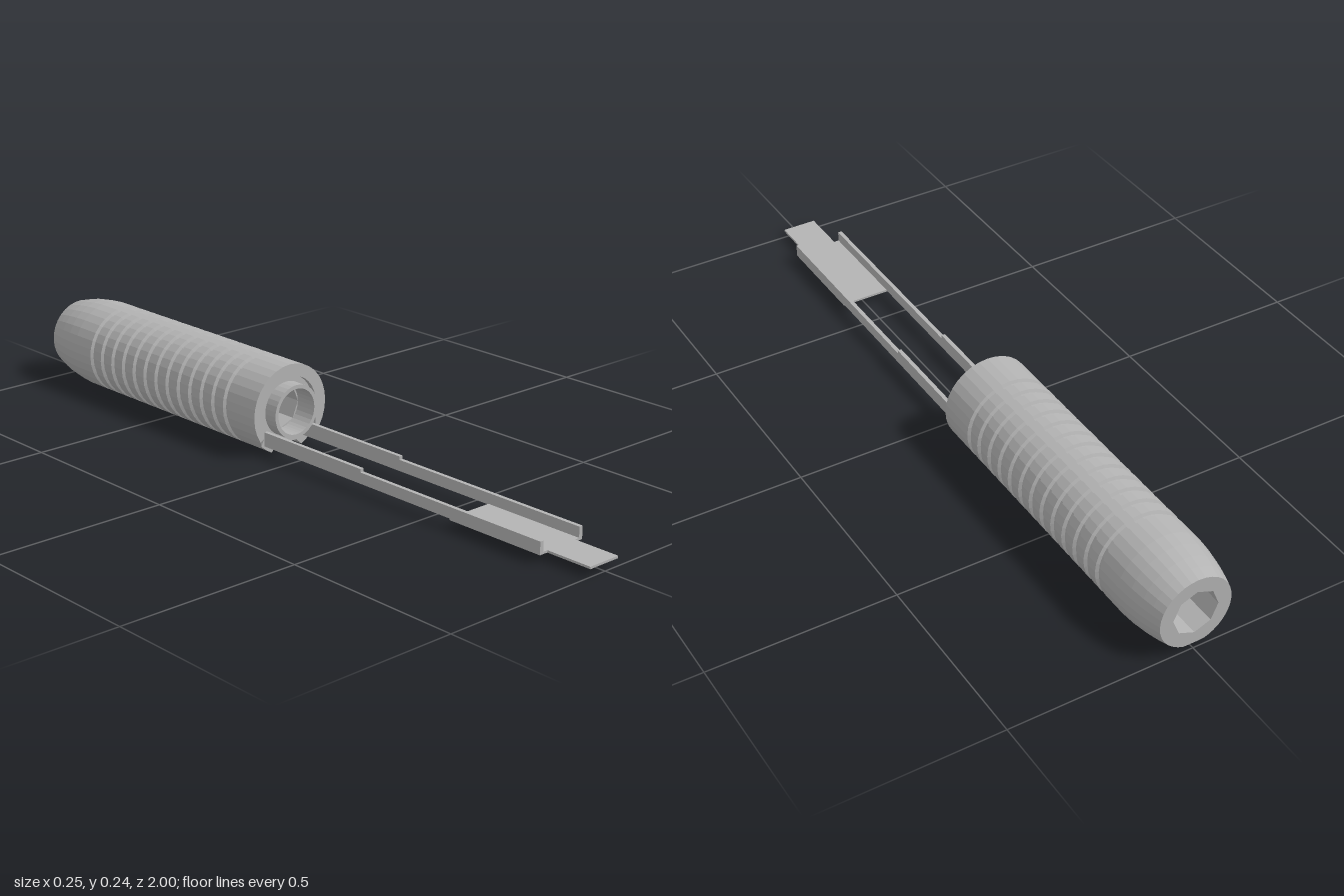
import * as THREE from 'three';

const grey = new THREE.MeshStandardMaterial({ color: 0xb3b3b3 });
grey.name = 'plain grey';

const CY = 0.1125, R = 0.1235;            // handle axis height and radius
const FRONT = -0.08, RECESS = -0.095, BACK = -1;
const rad = THREE.MathUtils.degToRad;

// Angles measured from the bottom; the first few land on the channel corners
const half = [8, 16.46, 24.9, 33.75];
for (let a = 45; a < 180; a += 11.25) half.push(a);
const angles = [0, ...half, 180, ...half.slice().reverse().map(a => 360 - a)];

const polar = (a, r, z) => [r * Math.sin(rad(a)), CY - r * Math.cos(rad(a)), z];

// Circular section with the channel cut along the underside
function outline(a, r, z) {
  const p = polar(a, r, z);
  const x = Math.abs(p[0]);
  if (p[1] < CY) p[1] = Math.max(p[1], 0.017 - Math.max(0, x - 0.035));
  return p;
}

// Octagonal bore with a corner at the top
function octagon(a, r, z) {
  const k = Math.cos(rad(22.5)) / Math.cos(rad((a % 45) - 22.5));
  return polar(a, r * k, z);
}

// Arched recess: round above, straight sides below, open at the bottom
const isOpen = a => Math.min(a, 360 - a) < 46;
function arch(a, z) {
  if (isOpen(a)) return outline(a, R, RECESS);
  const p = polar(a, 0.09, z);
  if (p[1] < CY) {
    const k = 0.09 / Math.abs(p[0]);
    return [p[0] * k, CY + (p[1] - CY) * k, z];
  }
  return p;
}

function handleGeometry() {
  const rows = [];
  const skin = (z, r) => rows.push(angles.map(a => outline(a, r, z)));
  // outer skin, front to back
  rows.push(angles.map(a => outline(a, R, isOpen(a) ? RECESS : FRONT)));
  skin(RECESS - 0.002, R);
  for (let i = 0; i < 13; i++) {
    const c = -0.198 - i * 0.0485;
    skin(c + 0.009, R);
    skin(c + 0.005, R - 0.008);
    skin(c - 0.005, R - 0.008);
    skin(c - 0.009, R);
  }
  [[-0.86, R], [-0.9, 0.1205], [-0.94, 0.1145], [-0.97, 0.1075], [BACK, 0.099]]
    .forEach(([z, r]) => skin(z, r));
  // bore, back to front
  rows.push(angles.map(a => octagon(a, 0.0625, BACK)));
  rows.push(angles.map(a => octagon(a, 0.0625, -0.12)));
  rows.push(angles.map(a => polar(a, 0.0625, -0.12)));
  // collar and recess
  rows.push(angles.map(a => polar(a, 0.0625, -0.055)));
  rows.push(angles.map(a => polar(a, 0.073, -0.055)));
  rows.push(angles.map(a => polar(a, 0.073, RECESS)));
  rows.push(angles.map(a => arch(a, RECESS)));
  rows.push(angles.map(a => arch(a, FRONT)));
  rows.push(rows[0]);

  const n = angles.length, index = [];
  for (let i = 0; i < rows.length - 1; i++) {
    for (let j = 0; j < n; j++) {
      const k = (j + 1) % n;
      const a = i * n + j, b = a + n, c = (i + 1) * n + k, d = i * n + k;
      index.push(a, b, c, a, c, d);
    }
  }
  const g = new THREE.BufferGeometry();
  g.setAttribute('position', new THREE.Float32BufferAttribute(rows.flat(2), 3));
  g.setIndex(index);
  const flat = g.toNonIndexed();
  flat.computeVertexNormals();
  return flat;
}

// Box given by its limits
function block(name, x0, x1, y0, y1, z0, z1) {
  const m = new THREE.Mesh(new THREE.BoxGeometry(x1 - x0, y1 - y0, z1 - z0), grey);
  m.position.set((x0 + x1) / 2, (y0 + y1) / 2, (z0 + z1) / 2);
  m.name = name;
  return m;
}

export function createModel() {
  const model = new THREE.Group();
  model.name = 'handledTool';

  const handle = new THREE.Mesh(handleGeometry(), grey);
  handle.name = 'ribbedHandle';
  model.add(handle);

  // Forked frame, slightly off the handle's axis
  const frame = new THREE.Group();
  frame.name = 'frame';
  frame.position.x = -0.004;
  for (const [side, s] of [['left', 1], ['right', -1]]) {
    const x0 = s > 0 ? 0.062 : -0.073, x1 = x0 + 0.011;
    frame.add(block(side + 'Rail', x0, x1, 0.024, 0.054, 0.27, 0.87));
    frame.add(block(side + 'RailRear', x0, x1, 0.024, 0.063, -0.1, 0.27));
  }
  // Base plate with a narrower tongue
  frame.add(block('basePlate', -0.073, 0.073, 0.02, 0.026, 0.58, 0.87));
  frame.add(block('tongue', -0.048, 0.048, 0.02, 0.026, 0.87, 1));
  model.add(frame);

  return model;
}
